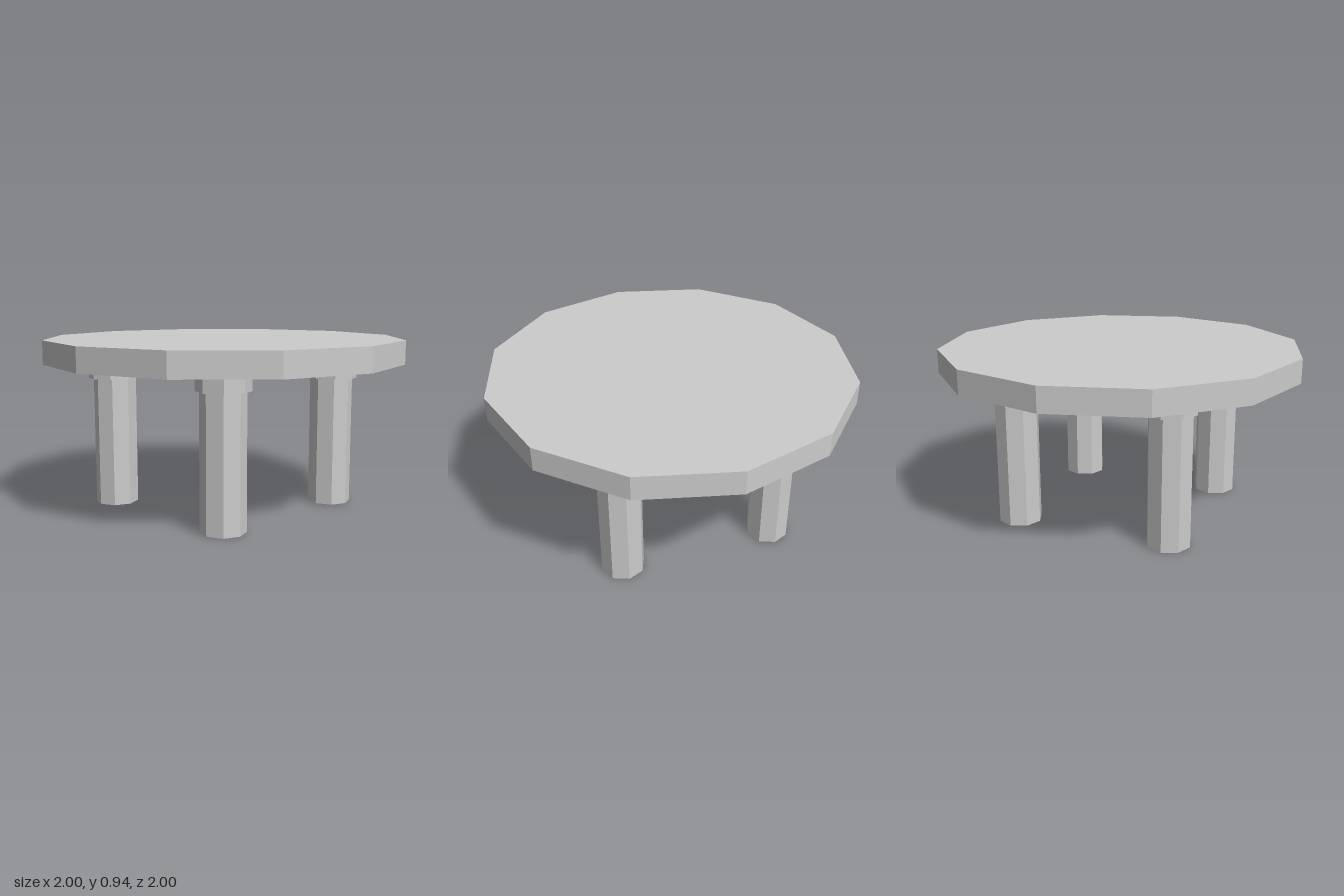
import * as THREE from 'three';

const material = new THREE.MeshStandardMaterial({ color: 0xcccccc, flatShading: true });

function addMesh(parent, name, geometry, x = 0, y = 0, z = 0) {
  const mesh = new THREE.Mesh(geometry, material);
  mesh.name = name;
  mesh.position.set(x, y, z);
  parent.add(mesh);
}

// Upright eight-sided post between two heights
function post(parent, name, radius, bottom, top, x, z) {
  const geometry = new THREE.CylinderGeometry(radius, radius, top - bottom, 8);
  addMesh(parent, name, geometry, x, (bottom + top) / 2, z);
}

export function createModel() {
  const table = new THREE.Group();
  table.name = 'roundTable';

  const topY = 0.94, rimY = 0.81, recessY = 0.895, collarY = 0.715;

  // Twelve-sided top with a rim around a recessed underside
  const profile = [
    [0, recessY], [0.91, recessY], [0.91, rimY], [1, rimY], [1, topY], [0, topY],
  ].map(([r, y]) => new THREE.Vector2(r, y));
  addMesh(table, 'tableTop', new THREE.LatheGeometry(profile, 12));

  // Four legs, each with a wider collar set into the recess
  for (const sx of [-1, 1]) {
    for (const sz of [-1, 1]) {
      const leg = new THREE.Group();
      leg.name = (sz > 0 ? 'front' : 'back') + (sx > 0 ? 'Left' : 'Right') + 'Leg';
      const z = sz > 0 ? 0.442 : -0.429;
      post(leg, 'legPost', 0.119, 0, collarY, sx * 0.432, z);
      post(leg, 'legCollar', 0.142, collarY, recessY, sx > 0 ? 0.435 : -0.441, z);
      table.add(leg);
    }
  }
  return table;
}
